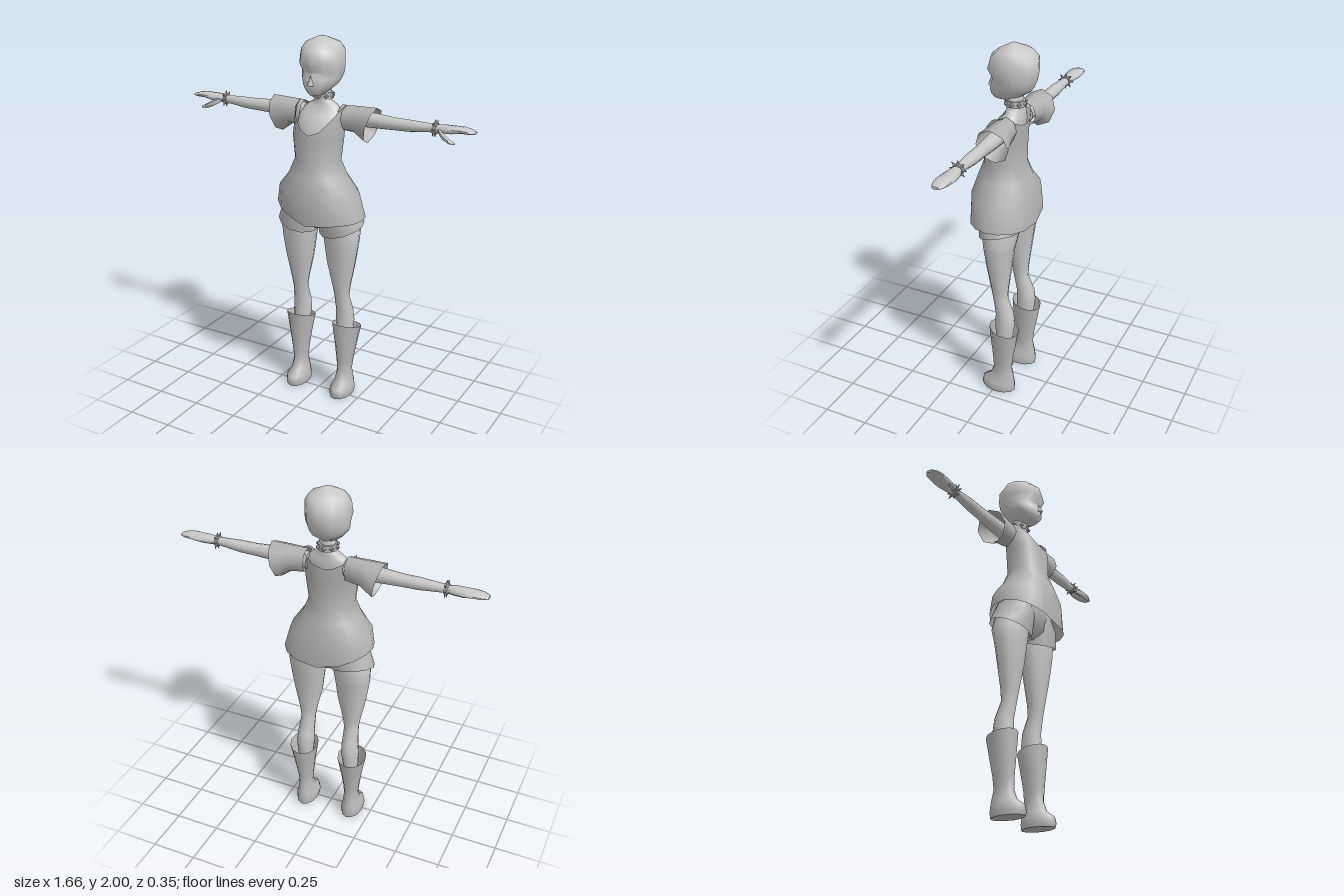
import * as THREE from 'three';
import { toCreasedNormals, mergeGeometries } from 'three/addons/utils/BufferGeometryUtils.js';

const mat = (name, color) => new THREE.MeshStandardMaterial({ name, color });

// Skin a list of point rings; capA / capB close the first / last ring
function loft(rings, capA = true, capB = true, crease = 1.1) {
  const n = rings[0].length, pos = [], idx = [];
  rings.forEach(r => r.forEach(p => pos.push(...p)));
  for (let j = 0; j < rings.length - 1; j++)
    for (let i = 0; i < n; i++) {
      const a = j * n + i, b = j * n + (i + 1) % n;
      idx.push(a, b, a + n, b, b + n, a + n);
    }
  const cap = (j, flip) => {
    const c = pos.length / 3;
    pos.push(...[0, 1, 2].map(k => rings[j].reduce((s, p) => s + p[k], 0) / n));
    for (let i = 0; i < n; i++) {
      const a = j * n + i, b = j * n + (i + 1) % n;
      flip ? idx.push(c, b, a) : idx.push(c, a, b);
    }
  };
  if (capA) cap(0, true);
  if (capB) cap(rings.length - 1, false);
  const g = new THREE.BufferGeometry();
  g.setAttribute('position', new THREE.Float32BufferAttribute(pos, 3));
  g.setIndex(idx);
  return toCreasedNormals(g, crease);
}

const angles = n => Array.from({ length: n }, (_, i) => i / n * Math.PI * 2);

// Horizontal ring from its x and z limits; dy(sin, cos) bends it, sq squares off the back
function ringY([y, x0, x1, zf, zb], n = 10, dy = () => 0, sq = 1) {
  return angles(n).map(a => {
    const s = Math.sin(a), c = Math.cos(a);
    const sx = c < 0 ? Math.sign(s) * Math.abs(s) ** sq : s;
    return [(x0 + x1) / 2 + (x1 - x0) / 2 * sx, y + dy(s, c), (zf + zb) / 2 + (zf - zb) / 2 * c];
  });
}

// Ring across the x axis; shear pushes the top outwards
function ringX([x, cy, cz, ry, rz], n = 8, shear = 0) {
  return angles(n).map(a => [x + shear * Math.cos(a), cy + ry * Math.cos(a), cz + rz * Math.sin(a)]);
}

function mirrored(geo) {
  const g = geo.index ? geo.toNonIndexed() : geo.clone();
  g.scale(-1, 1, 1);
  for (const at of Object.values(g.attributes))
    for (let t = 0; t < at.count; t += 3)
      for (let k = 0; k < at.itemSize; k++) {
        const v = at.getComponent(t + 1, k);
        at.setComponent(t + 1, k, at.getComponent(t + 2, k));
        at.setComponent(t + 2, k, v);
      }
  return g;
}

// Ring of cone spikes around the y axis
function spikes(count, r, len, width, sides) {
  return mergeGeometries(angles(count).map(a =>
    new THREE.CylinderGeometry(width * (sides === 4 ? 0.6 : 0.05), width, len, sides)
      .rotateX(Math.PI / 2).translate(0, 0, r + len / 2).rotateY(a)));
}

export function createModel() {
  const model = new THREE.Group();
  const skin = mat('skin', 0xc8c8c8), cloth = mat('cloth', 0xb2b2b2);
  const leather = mat('leather', 0xbababa), metal = mat('metal', 0xa4a4a4);
  cloth.side = leather.side = THREE.DoubleSide;

  const add = (name, geo, m) => {
    const mesh = new THREE.Mesh(geo, m);
    mesh.name = name;
    model.add(mesh);
  };
  const pair = (name, geo, m) => {
    add('left' + name, geo, m);
    add('right' + name, mirrored(geo), m);
  };
  const sym = (y, rx, zf, zb) => [y, -rx, rx, zf, zb];

  // Head, with the eye line set back under the brow
  add('head', loft([
    sym(1.71, 0.03, 0.075, -0.04), sym(1.735, 0.06, 0.09, -0.085), sym(1.765, 0.09, 0.092, -0.13),
    sym(1.795, 0.104, 0.085, -0.148), sym(1.825, 0.11, 0.072, -0.16), sym(1.87, 0.116, 0.104, -0.17),
    sym(1.93, 0.112, 0.085, -0.165), sym(1.965, 0.092, 0.045, -0.13), sym(1.998, 0.015, -0.02, -0.045),
  ].map(r => ringY(r))), skin);
  const nose = new THREE.ConeGeometry(0.02, 0.05, 4).translate(0, 1.79, 0.088);
  add('nose', nose, skin);

  // Neck and upper chest
  add('neckAndChest', loft([
    sym(1.42, 0.1, 0.09, -0.08), sym(1.52, 0.125, 0.1, -0.085), sym(1.6, 0.125, 0.045, -0.09),
    sym(1.645, 0.09, 0.0, -0.088), sym(1.67, 0.045, 0.0, -0.085), sym(1.76, 0.04, 0.0, -0.085),
  ].map(r => ringY(r, 12))), skin);

  // Studded collar
  add('collar', new THREE.CylinderGeometry(0.05, 0.05, 0.034, 16).translate(0, 1.695, -0.045), leather);
  add('collarStuds', spikes(8, 0.048, 0.012, 0.013, 4).translate(0, 1.695, -0.045), metal);

  // Shirt with an uneven hem and a scooped neckline
  const hem = s => (s < 0 ? -0.08 * s : 0.02 * s);
  const neckline = angles(16).map(a => {
    const s = Math.sin(a), c = Math.cos(a);
    return [0.138 * s, 1.657 - (c > 0 ? 0.145 : 0.065) * c * c, -0.035 + (c > 0 ? 0.145 : 0.07) * c];
  });
  add('shirt', loft([
    ringY([1.045, -0.235, 0.26, 0.175, -0.172], 16, hem, 0.75),
    ringY([1.19, -0.215, 0.222, 0.18, -0.165], 16, s => hem(s) * 0.4, 0.8),
    ringY(sym(1.29, 0.158, 0.15, -0.13), 16),
    ringY(sym(1.37, 0.124, 0.12, -0.1), 16),
    ringY(sym(1.49, 0.14, 0.115, -0.1), 16),
    neckline,
  ], false, false), cloth);

  // Flared sleeves
  pair('Sleeve', loft([
    ringX([0.11, 1.59, -0.045, 0.066, 0.06]),
    ringX([0.2, 1.588, -0.05, 0.07, 0.07], 8, 0.01),
    ringX([0.28, 1.566, -0.052, 0.094, 0.088], 8, 0.025),
  ], false, false), cloth);

  // Arms and hands
  pair('Arm', loft([
    [0.1, 1.595, -0.05, 0.045, 0.045], [0.3, 1.594, -0.052, 0.039, 0.038], [0.4, 1.592, -0.052, 0.033, 0.032],
    [0.48, 1.593, -0.052, 0.031, 0.034], [0.56, 1.596, -0.054, 0.025, 0.027], [0.63, 1.598, -0.055, 0.02, 0.021],
  ].map(r => ringX(r, 10))), skin);
  pair('Hand', loft([
    [0.62, 1.598, -0.055, 0.019, 0.021], [0.66, 1.6, -0.058, 0.022, 0.034], [0.71, 1.601, -0.06, 0.02, 0.042],
    [0.76, 1.606, -0.062, 0.015, 0.043], [0.8, 1.603, -0.06, 0.012, 0.037], [0.828, 1.6, -0.058, 0.007, 0.02],
  ].map(r => ringX(r, 10))), skin);
  pair('Thumb', loft([
    [0.645, 1.593, -0.04, 0.014, 0.014], [0.68, 1.574, -0.01, 0.016, 0.017],
    [0.715, 1.558, 0.002, 0.012, 0.013], [0.745, 1.55, 0.002, 0.005, 0.006],
  ].map(r => ringX(r, 6))), skin);

  // Spiked wristbands
  const onWrist = g => g.rotateZ(Math.PI / 2).translate(0.62, 1.598, -0.055);
  pair('Wristband', onWrist(new THREE.CylinderGeometry(0.027, 0.027, 0.022, 12)), leather);
  pair('WristSpikes', onWrist(spikes(8, 0.025, 0.022, 0.008, 6)), metal);

  // Shorts: seat and two flared legs
  add('shortsSeat', loft([
    sym(0.99, 0.04, 0.04, -0.08), sym(1.04, 0.16, 0.085, -0.125),
    sym(1.13, 0.18, 0.1, -0.13), sym(1.24, 0.13, 0.08, -0.09),
  ].map(r => ringY(r, 12))), cloth);
  pair('ShortsLeg', loft([
    ringY([1.0, 0.005, 0.25, 0.09, -0.13], 12, (s, c) => 0.025 * s - 0.03 * c),
    ringY([1.08, 0.0, 0.222, 0.1, -0.135], 12),
    ringY([1.16, 0.0, 0.18, 0.09, -0.12], 12),
  ], false, false), cloth);

  // Legs
  pair('Leg', loft([
    [0.34, 0.1, 0.18, 0.0, -0.095], [0.44, 0.086, 0.186, 0.002, -0.108], [0.51, 0.088, 0.18, 0.002, -0.1],
    [0.6, 0.09, 0.171, 0.018, -0.064], [0.66, 0.08, 0.18, 0.028, -0.066], [0.8, 0.047, 0.21, 0.05, -0.082],
    [0.92, 0.032, 0.228, 0.066, -0.098], [1.0, 0.022, 0.232, 0.075, -0.118], [1.08, 0.02, 0.2, 0.075, -0.118],
  ].map(r => ringY(r, 12))), skin);

  // Tall boots, with the rim dipping at the back
  const boot = [
    [0, 0.084, 0.2, 0.078, -0.112], [0.025, 0.08, 0.204, 0.086, -0.115], [0.055, 0.086, 0.2, 0.078, -0.113],
    [0.085, 0.097, 0.188, 0.035, -0.108], [0.14, 0.104, 0.18, 0.014, -0.096], [0.2, 0.1, 0.188, 0.015, -0.1],
    [0.3, 0.086, 0.205, 0.022, -0.117], [0.418, 0.066, 0.228, 0.03, -0.133],
  ];
  pair('Boot', loft(boot.map((r, i) =>
    ringY(r, 12, (s, c) => (i === boot.length - 1 ? 0.02 * c : 0))), true, false), leather);

  return model;
}
